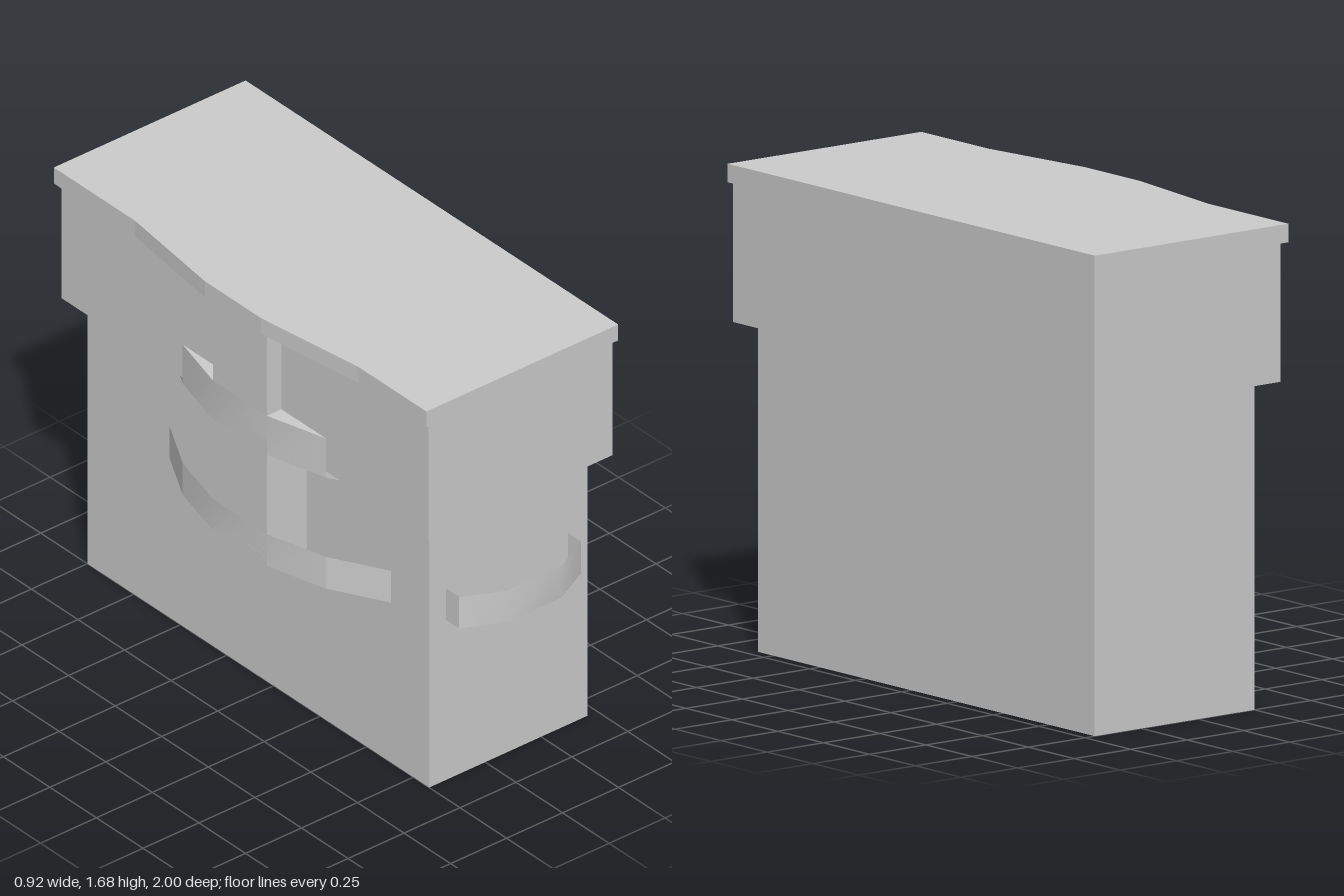
import * as THREE from 'three';

const material = new THREE.MeshStandardMaterial({ color: 0xcccccc, side: THREE.DoubleSide });

// Upright sheet that follows a plan path of [x, z] points; smooth or creased at the points
function wall(name, path, y0, y1, smooth = false) {
  const positions = [], index = [];
  path.forEach(([x, z], i) => {
    positions.push(x, y0, z, x, y1, z);
    const a = i * 2;
    if (i < path.length - 1) index.push(a, a + 2, a + 3, a, a + 3, a + 1);
  });
  let geometry = new THREE.BufferGeometry();
  geometry.setAttribute('position', new THREE.Float32BufferAttribute(positions, 3));
  geometry.setIndex(index);
  if (!smooth) geometry = geometry.toNonIndexed();
  geometry.computeVertexNormals();
  return named(name, geometry);
}

// Level sheet with a plan outline of [x, z] points
function level(name, outline, y) {
  const shape = new THREE.Shape(outline.map(([x, z]) => new THREE.Vector2(x, -z)));
  const geometry = new THREE.ShapeGeometry(shape).rotateX(-Math.PI / 2).translate(0, y, 0);
  return named(name, geometry);
}

function named(name, geometry) {
  const mesh = new THREE.Mesh(geometry, material);
  mesh.name = name;
  return mesh;
}

const loop = (path) => [...path, path[0]];

export function createModel() {
  const model = new THREE.Group();
  model.name = 'cabinet';

  const R = 0.457, back = -1, mid = 0.035;
  const bodyX = -0.25, bodyZ = 0.835, topX = -0.365, topZ = 0.97, lidX = -0.4;
  const ledgeY = 1.135, lidY = 1.62, topY = 1.685;
  const bulge = [[lidX, mid - 0.6], [-0.46, mid - 0.15], [-0.46, mid + 0.15], [lidX, mid + 0.6]];

  // Counter-clockwise plan seen from above: back edge, bowed side, front, plain side
  const rect = (x, z) => [[x, back], [x, z], [R, z], [R, back]];
  const lidPlan = [[lidX, back], ...bulge, [lidX, 1], [R, 1], [R, back]];

  // Hollow lower body, open underneath
  model.add(wall('body', loop(rect(bodyX, bodyZ)), 0, ledgeY));

  // Wider upper section on an L-shaped ledge
  model.add(wall('upperSection', loop(rect(topX, topZ)), ledgeY, lidY));
  model.add(level('upperLedge', [
    [topX, back], [topX, topZ], [R, topZ], [R, bodyZ], [bodyX, bodyZ], [bodyX, back],
  ], ledgeY));

  // Lid with a bowed side
  const lid = new THREE.Group();
  lid.name = 'lid';
  lid.add(wall('lidRim', loop(lidPlan), lidY, topY));
  lid.add(level('lidTop', lidPlan, topY));
  lid.add(level('lidOverhang', [
    [lidX, back], ...bulge, [lidX, 1], [R, 1], [R, topZ], [topX, topZ], [topX, back],
  ], lidY));
  model.add(lid);

  // Upright strap on the bowed side
  const strapPlan = [[bodyX, mid - 0.145], [-0.43, mid - 0.145], [-0.43, mid + 0.145], [bodyX, mid + 0.145]];
  model.add(wall('strap', strapPlan, 0.655, lidY));
  model.add(level('strapBase', strapPlan, 0.655));

  // Curved bands crossing the strap: the lower one open, the upper one closed
  const arc = [[topX, mid - 0.385], [-0.43, mid - 0.145], [-0.43, mid + 0.145], [topX, mid + 0.385]];
  const ends = [[bodyX, mid - 0.595], [bodyX, mid + 0.595]];
  const bandPlan = [ends[0], ...arc, ends[1]];
  for (const [name, y0, y1] of [['lowerBand', 0.655, 0.785], ['upperBand', 1.11, 1.27]]) {
    const band = new THREE.Group();
    band.name = name;
    band.add(wall(name + 'Arc', arc, y0, y1, true));
    band.add(wall(name + 'BackEnd', [ends[0], arc[0]], y0, y1));
    band.add(wall(name + 'FrontEnd', [arc[3], ends[1]], y0, y1));
    if (name === 'upperBand') {
      band.add(level('upperBandTop', arc, y1));
      band.add(level('upperBandBase', bandPlan, y0));
    }
    model.add(band);
  }

  // Curved pull handle on the front
  const handle = new THREE.Group();
  handle.name = 'handle';
  const grip = [[-0.175, 0.905], [-0.025, 0.98], [0.22, 0.98], [0.37, 0.905]];
  handle.add(wall('handleGrip', grip, 0.655, 0.785, true));
  for (const [x, z] of [grip[0], grip[3]]) {
    handle.add(wall('handleEnd', x < 0 ? [[x, bodyZ], [x, z]] : [[x, z], [x, bodyZ]], 0.655, 0.785));
  }
  model.add(handle);

  return model;
}
